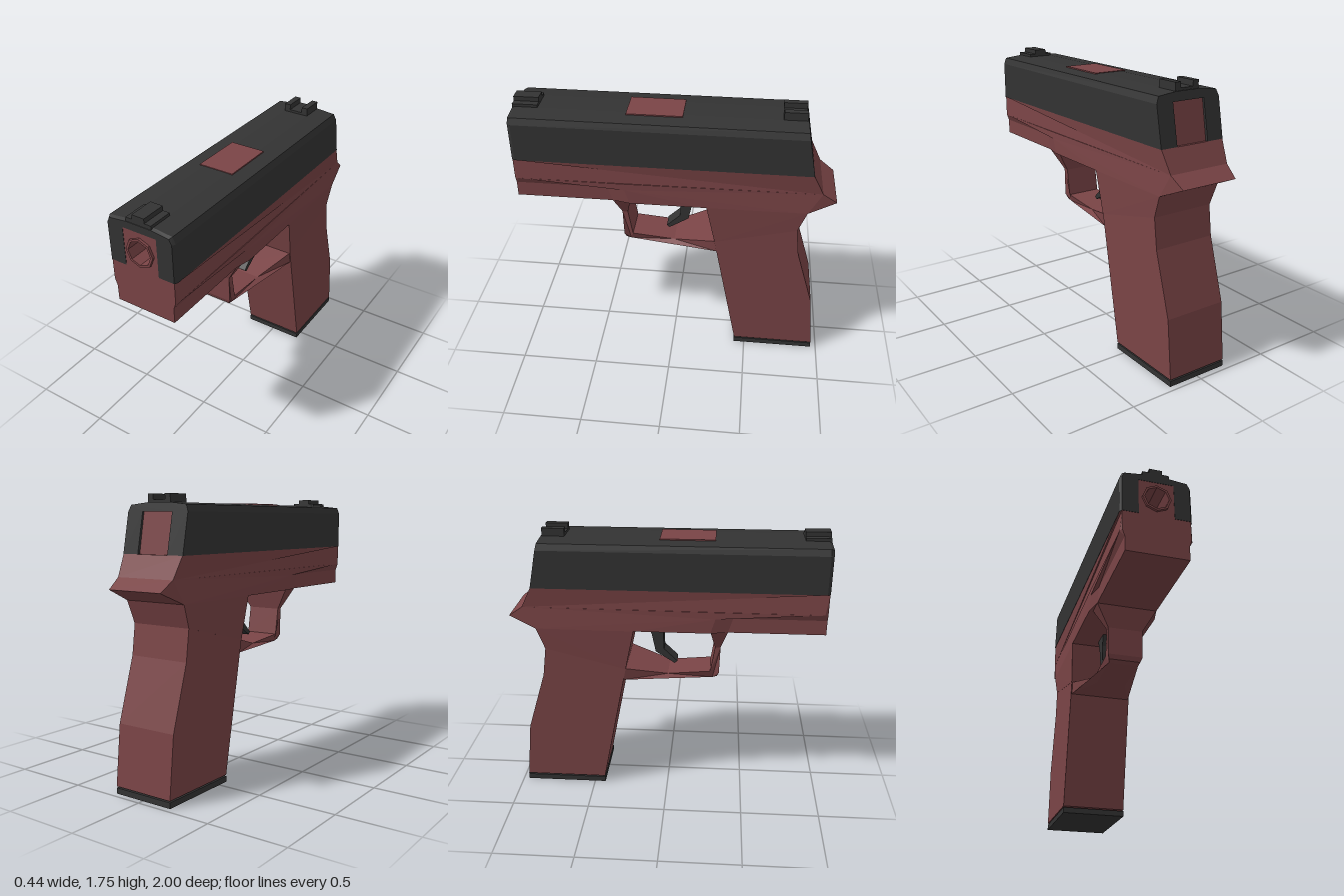
import * as THREE from 'three';

const RED = new THREE.MeshStandardMaterial({ color: 0x7a4446, flatShading: true });
const DARK = new THREE.MeshStandardMaterial({ color: 0x333333, flatShading: true });

// Side profile of [z, y, halfWidth] points, mirrored across x with its own width at each point
function plate(points) {
  const shape = new THREE.Shape(points.map(([z, y]) => new THREE.Vector2(z, y)));
  const geo = new THREE.ExtrudeGeometry(shape, { depth: 2, bevelEnabled: false });
  geo.translate(0, 0, -1).rotateY(-Math.PI / 2);
  const pos = geo.attributes.position;
  for (let i = 0; i < pos.count; i++) {
    const p = points.find(([z, y]) => Math.hypot(z - pos.getZ(i), y - pos.getY(i)) < 1e-4);
    pos.setX(i, Math.sign(pos.getX(i)) * p[2]);
  }
  geo.computeVertexNormals();
  return geo;
}

const evenPlate = (points, w) => plate(points.map(([z, y]) => [z, y, w]));

// Box from its limits
function block(x0, x1, y0, y1, z0, z1) {
  return new THREE.BoxGeometry(x1 - x0, y1 - y0, z1 - z0)
    .translate((x0 + x1) / 2, (y0 + y1) / 2, (z0 + z1) / 2);
}

// Inverted channel with chamfered front edges and a raked back
function slideGeometry() {
  const half = [[0.11, 1.41], [0.222, 1.41], [0.222, 1.65], [0.205, 1.69], [0.08, 1.703]];
  const left = half.map(([x, y]) => [-x, y]).reverse();
  const outline = [[0.11, 1.65], ...half, ...left, [-0.11, 1.65]];
  const shape = new THREE.Shape(outline.map(([x, y]) => new THREE.Vector2(x, y)));
  const geo = new THREE.ExtrudeGeometry(shape, { depth: 2, steps: 2, bevelEnabled: false });
  const pos = geo.attributes.position;
  for (let i = 0; i < pos.count; i++) {
    const x = pos.getX(i), y = pos.getY(i), layer = Math.round(pos.getZ(i));
    pos.setZ(i, [-0.845 + (y - 1.41) * 0.2, 0.968, 0.987][layer]);
    if (layer === 2 && Math.abs(x) > 0.15) pos.setX(i, x * 0.95);
    if (layer === 2 && y > 1.66) pos.setY(i, y - 0.008);
  }
  geo.computeVertexNormals();
  return geo;
}

// Muzzle block with an eight-sided bore
function muzzleGeometry(cy, r) {
  const shape = new THREE.Shape();
  shape.moveTo(-0.11, 1.41).lineTo(0.11, 1.41).lineTo(0.11, 1.65).lineTo(-0.11, 1.65);
  const hole = new THREE.Path();
  hole.setFromPoints(Array.from({ length: 8 }, (_, i) => {
    const a = -i * Math.PI / 4;
    return new THREE.Vector2(r * Math.cos(a), cy + r * Math.sin(a));
  }));
  shape.holes.push(hole);
  return new THREE.ExtrudeGeometry(shape, { depth: 0.385, bevelEnabled: false }).translate(0, 0, 0.6);
}

export function createModel() {
  const model = new THREE.Group();
  const add = (name, geometry, material) => {
    const mesh = new THREE.Mesh(geometry, material);
    mesh.name = name;
    model.add(mesh);
    return mesh;
  };

  // Slide and its inner core
  add('slide', slideGeometry(), DARK);
  add('slideCore', evenPlate([[0.6, 1.41], [0.6, 1.65], [-0.785, 1.65], [-0.828, 1.41]], 0.11), RED);
  add('ejectionPort', block(-0.112, 0.112, 1.64, 1.707, -0.05, 0.29), RED);

  // Barrel
  add('muzzleBlock', muzzleGeometry(1.53, 0.085), RED);
  const bore = [[0, 0.65], [0.075, 0.65], [0.075, 1], [0.09, 1], [0.09, 0.95]];
  const barrel = new THREE.LatheGeometry(bore.map(([r, z]) => new THREE.Vector2(r, z)), 8);
  barrel.rotateX(Math.PI / 2).translate(0, 1.53, 0);
  const barrelMaterial = RED.clone();
  barrelMaterial.side = THREE.DoubleSide;
  add('barrel', barrel, barrelMaterial);

  // Sights
  add('frontSightBase', block(-0.083, 0.083, 1.69, 1.72, 0.83, 0.985), DARK);
  add('frontSightBlade', block(-0.04, 0.04, 1.7, 1.748, 0.83, 0.985), DARK);
  add('rearSightBase', block(-0.083, 0.083, 1.69, 1.718, -0.78, -0.64), DARK);
  for (const s of [-1, 1]) {
    const post = block(-0.02, 0.02, 1.7, 1.752, -0.78, -0.64).translate(s * 0.063, 0, 0);
    add(s > 0 ? 'rearSightPostLeft' : 'rearSightPostRight', post, DARK);
  }

  // Frame: upper band, then the narrower stepped rail under its front
  add('frameUpper', plate([
    [0.985, 1.28, 0.21], [0.985, 1.41, 0.21], [0.965, 1.41, 0.22],
    [-0.845, 1.41, 0.22], [-0.91, 1.28, 0.205], [0.965, 1.28, 0.22],
  ]), RED);
  add('railShelf', plate([
    [0.985, 1.28, 0.21], [0.985, 1.235, 0.195], [0.41, 1.235, 0.195],
    [0.3, 1.235, 0.22], [0.32, 1.28, 0.22], [0.965, 1.28, 0.22],
  ]), RED);
  add('rail', plate([
    [0.985, 1.235, 0.195], [0.985, 1.14, 0.195], [0.38, 1.14, 0.195],
    [0.27, 1.14, 0.22], [0.3, 1.235, 0.22], [0.41, 1.235, 0.195],
  ]), RED);

  // Middle frame with the tang at the back
  add('frameMiddle', plate([
    [0.32, 1.28, 0.22], [0.3, 1.235, 0.22], [0.27, 1.14, 0.22], [-0.21, 1.14, 0.22],
    [-0.83, 1.14, 0.215], [-1, 1.215, 0.19], [-0.91, 1.28, 0.205],
  ]), RED);

  // Grip
  add('gripUpper', plate([
    [-0.21, 1.14, 0.22], [-0.267, 0.87, 0.207], [-0.78, 1, 0.207], [-0.83, 1.14, 0.215],
  ]), RED);
  add('gripLower', evenPlate([
    [-0.267, 0.87], [-0.43, 0.045], [-0.963, 0.045], [-0.925, 0.42], [-0.805, 0.81], [-0.78, 1],
  ], 0.206), RED);
  add('magazine', block(-0.17, 0.17, 0.03, 0.05, -0.9, -0.49), DARK);
  add('basePlate', block(-0.206, 0.206, 0, 0.036, -0.963, -0.428), DARK);

  // Trigger guard, flaring where it meets the frame and the grip
  add('triggerGuard', plate([
    [0.38, 1.14, 0.195], [0.338, 1, 0.113], [0.332, 0.82, 0.113], [0.32, 0.79, 0.1],
    [0.29, 0.778, 0.095], [0, 0.766, 0.095], [-0.283, 0.79, 0.2], [-0.267, 0.87, 0.2],
    [0, 0.803, 0.113], [0.275, 0.828, 0.113], [0.303, 1, 0.113], [0.27, 1.14, 0.195],
  ]), RED);

  // Trigger
  add('trigger', evenPlate([
    [-0.02, 1.15], [-0.035, 1.06], [-0.03, 0.95], [0.057, 0.866], [0.04, 0.85],
    [-0.085, 0.93], [-0.11, 1.05], [-0.15, 1.15],
  ], 0.05), DARK);

  return model;
}
